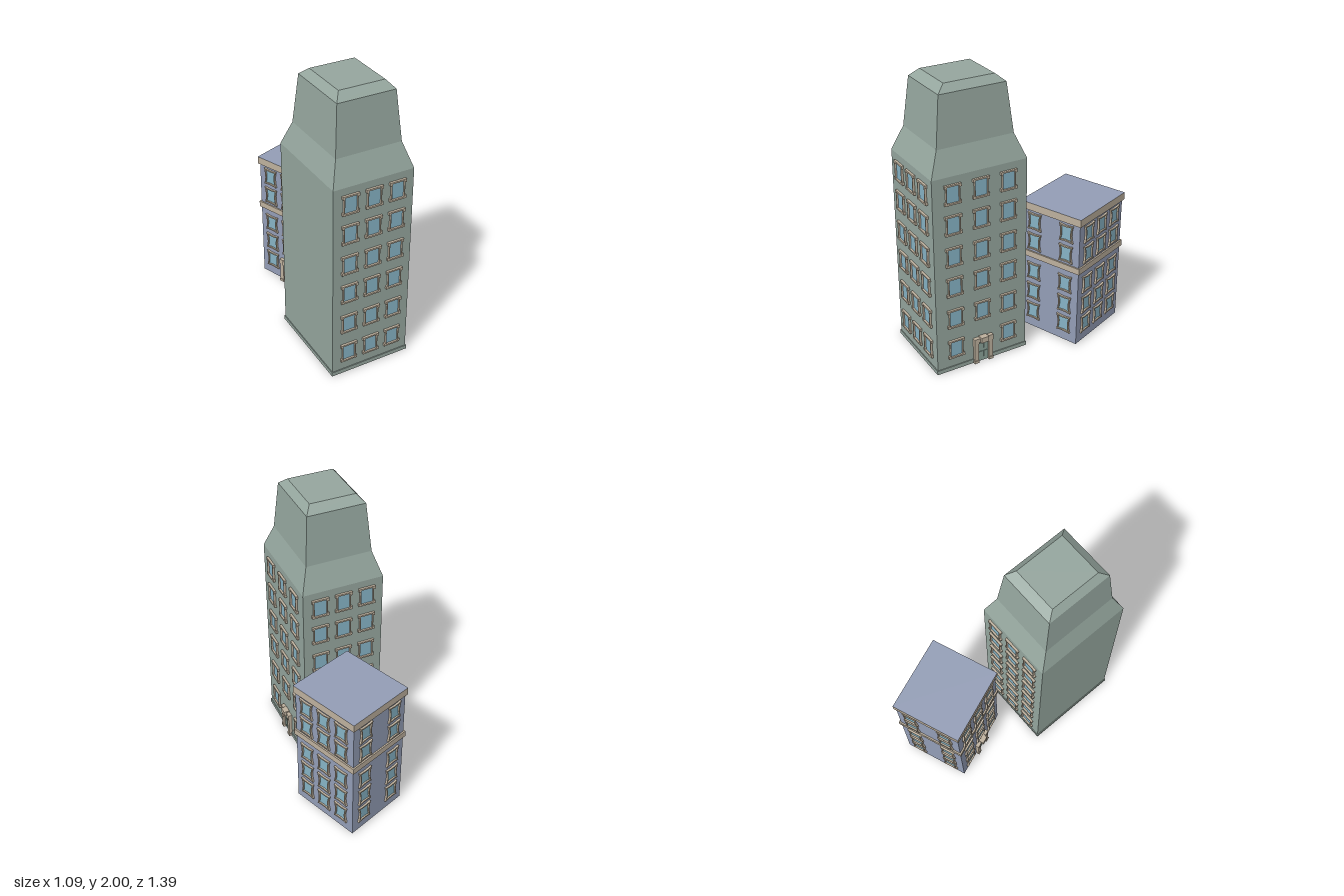
import * as THREE from 'three';

const mat = (name, color) => {
  const m = new THREE.MeshStandardMaterial({ color });
  m.name = name;
  m.flatShading = true;
  return m;
};

export function createModel() {
  const sage = mat('sageWall', 0x95a69e);
  const blue = mat('blueWall', 0x939db6);
  const stone = mat('stoneTrim', 0xbdb09d);
  const glass = mat('windowGlass', 0x86b3c5);
  const doorPaint = mat('doorPaint', 0x8aa198);

  const add = (parent, name, geo, material, x = 0, y = 0, z = 0) => {
    const mesh = new THREE.Mesh(geo, material);
    mesh.name = name;
    mesh.position.set(x, y, z);
    parent.add(mesh);
    return mesh;
  };
  const box = (parent, name, w, h, d, material, x, y, z) =>
    add(parent, name, new THREE.BoxGeometry(w, h, d), material, x, y, z);

  // Block built from rectangular sections [width, depth, y], bottom to top
  const sections = (levels) => {
    const pos = [];
    const corners = levels.map(([w, d, y]) =>
      [[-1, 1], [1, 1], [1, -1], [-1, -1]].map(([sx, sz]) => [sx * w / 2, y, sz * d / 2]));
    const quad = (a, b, c, d) => pos.push(...a, ...b, ...c, ...a, ...c, ...d);
    for (let i = 0; i < corners.length - 1; i++) {
      const lo = corners[i], hi = corners[i + 1];
      for (let k = 0; k < 4; k++) quad(lo[k], lo[(k + 1) % 4], hi[(k + 1) % 4], hi[k]);
    }
    quad(...corners[corners.length - 1]);
    quad(...[...corners[0]].reverse());
    const g = new THREE.BufferGeometry();
    g.setAttribute('position', new THREE.Float32BufferAttribute(pos, 3));
    g.computeVertexNormals();
    return g;
  };

  // Frame with small ears at the corners
  const earedOutline = (w, h, ear, band) => {
    const a = w / 2, b = h / 2, i = a - ear, j = b - band;
    return [[-a, -b], [a, -b], [a, -j], [i, -j], [i, j], [a, j], [a, b], [-a, b],
      [-a, j], [-i, j], [-i, -j], [-a, -j]].map(([x, y]) => new THREE.Vector2(x, y));
  };
  // Frame whose sides curve in at the waist
  const waistedOutline = (w, h, waist, sag) => {
    const a = w / 2, b = h / 2, s = new THREE.Shape();
    s.moveTo(-a, -b);
    s.quadraticCurveTo(0, -b + sag, a, -b);
    s.quadraticCurveTo(a - waist, 0, a, b);
    s.quadraticCurveTo(0, b - sag, -a, b);
    s.quadraticCurveTo(-a + waist, 0, -a, -b);
    return s.getPoints(5);
  };
  const frameGeo = (outer, inner, depth) => {
    const s = new THREE.Shape(outer);
    s.holes.push(new THREE.Path(inner));
    return new THREE.ExtrudeGeometry(s, { depth, bevelEnabled: false });
  };

  const towerHole = earedOutline(0.088, 0.116, 0, 0.02);
  const towerFrame = frameGeo(earedOutline(0.12, 0.138, 0.011, 0.022), towerHole, 0.016);
  const towerPane = new THREE.PlaneGeometry(0.09, 0.12);
  const houseHole = waistedOutline(0.09, 0.11, 0.018, 0.012);
  const houseFrame = frameGeo(waistedOutline(0.112, 0.13, 0.024, 0.012), houseHole, 0.014);
  const housePane = new THREE.ShapeGeometry(new THREE.Shape(houseHole));

  // Group lying on a wall: local +z points outwards, x runs along the wall
  const wallSide = (parent, name, angle, dist) => {
    const side = new THREE.Group();
    side.name = name;
    side.rotation.y = angle;
    side.position.set(Math.sin(angle) * dist, 0, Math.cos(angle) * dist);
    parent.add(side);
    return side;
  };

  const windows = (side, cols, rows, frame, pane, skipCentreLowest) => {
    rows.forEach((y, r) => cols.forEach((x) => {
      if (skipCentreLowest && r === 0 && x === 0) return;
      add(side, 'windowFrame', frame, stone, x, y, 0);
      add(side, 'windowGlass', pane, glass, x, y, 0.003);
    }));
  };

  // Panelled door with stone jambs, stepped lintel and keystone
  const door = (side) => {
    const g = new THREE.Group();
    g.name = 'door';
    side.add(g);
    box(g, 'doorLeaf', 0.085, 0.17, 0.008, doorPaint, 0, 0.09, 0.004);
    for (const sx of [-1, 1]) {
      box(g, 'doorJamb', 0.032, 0.165, 0.022, stone, sx * 0.055, 0.0825, 0.011);
      box(g, 'jambFoot', 0.036, 0.02, 0.026, stone, sx * 0.056, 0.01, 0.013);
      box(g, 'jambCapital', 0.036, 0.04, 0.027, stone, sx * 0.055, 0.178, 0.0135);
      for (const y of [0.055, 0.125]) {
        box(g, 'doorPanel', 0.028, 0.048, 0.005, doorPaint, sx * 0.019, y, 0.0095);
      }
    }
    box(g, 'doorLintel', 0.08, 0.03, 0.025, stone, 0, 0.18, 0.0125);
    box(g, 'doorKeystone', 0.055, 0.04, 0.042, stone, 0, 0.185, 0.021);
  };

  const model = new THREE.Group();
  model.name = 'buildings';

  // Tall tower, turned on its plot
  const tower = new THREE.Group();
  tower.name = 'tower';
  tower.position.set(-0.149, 0, 0.266);
  tower.rotation.y = -0.368;
  model.add(tower);
  const W = 0.572, D = 0.686;
  add(tower, 'towerBody', sections([[W, D, 0.01], [W, D, 1.44], [0.463, 0.55, 1.61],
    [0.407, 0.475, 1.95], [0.32, 0.358, 2]]), sage);
  box(tower, 'towerPlinth', W + 0.012, 0.03, D + 0.012, sage, 0, 0.015, 0);

  const towerRows = [0.17, 0.41, 0.652, 0.876, 1.105, 1.32];
  const front = wallSide(tower, 'towerFront', 0, D / 2);
  const back = wallSide(tower, 'towerBack', Math.PI, D / 2);
  const entrance = wallSide(tower, 'towerEntranceSide', Math.PI / 2, W / 2);
  for (const side of [front, back]) {
    windows(side, [-0.167, 0, 0.167], towerRows, towerFrame, towerPane);
  }
  windows(entrance, [-0.202, 0, 0.202], towerRows, towerFrame, towerPane, true);
  door(entrance);

  // Low house
  const house = new THREE.Group();
  house.name = 'house';
  house.position.set(0.289, 0, -0.423);
  model.add(house);
  const w = 0.476, d = 0.516;
  box(house, 'houseBody', w, 0.95, d, blue, 0, 0.485, 0);
  box(house, 'stringCourse', w + 0.022, 0.045, d + 0.022, stone, 0, 0.603, 0);
  // Cornice with the flat roof as its top face
  box(house, 'corniceAndRoof', w + 0.022, 0.055, d + 0.022,
    [stone, stone, blue, stone, stone, stone], 0, 0.9725, 0);

  const houseRows = [0.147, 0.308, 0.473, 0.708, 0.865];
  for (const [name, angle] of [['houseFront', 0], ['houseBack', Math.PI]]) {
    windows(wallSide(house, name, angle, d / 2), [-0.132, 0.132], houseRows, houseFrame, housePane);
  }
  for (const s of [-1, 1]) {
    const side = wallSide(house, s > 0 ? 'houseLeftSide' : 'houseEntranceSide', s * Math.PI / 2, w / 2);
    windows(side, [-0.155, 0, 0.155], houseRows, houseFrame, housePane, s < 0);
    if (s < 0) door(side);
  }
  return model;
}
